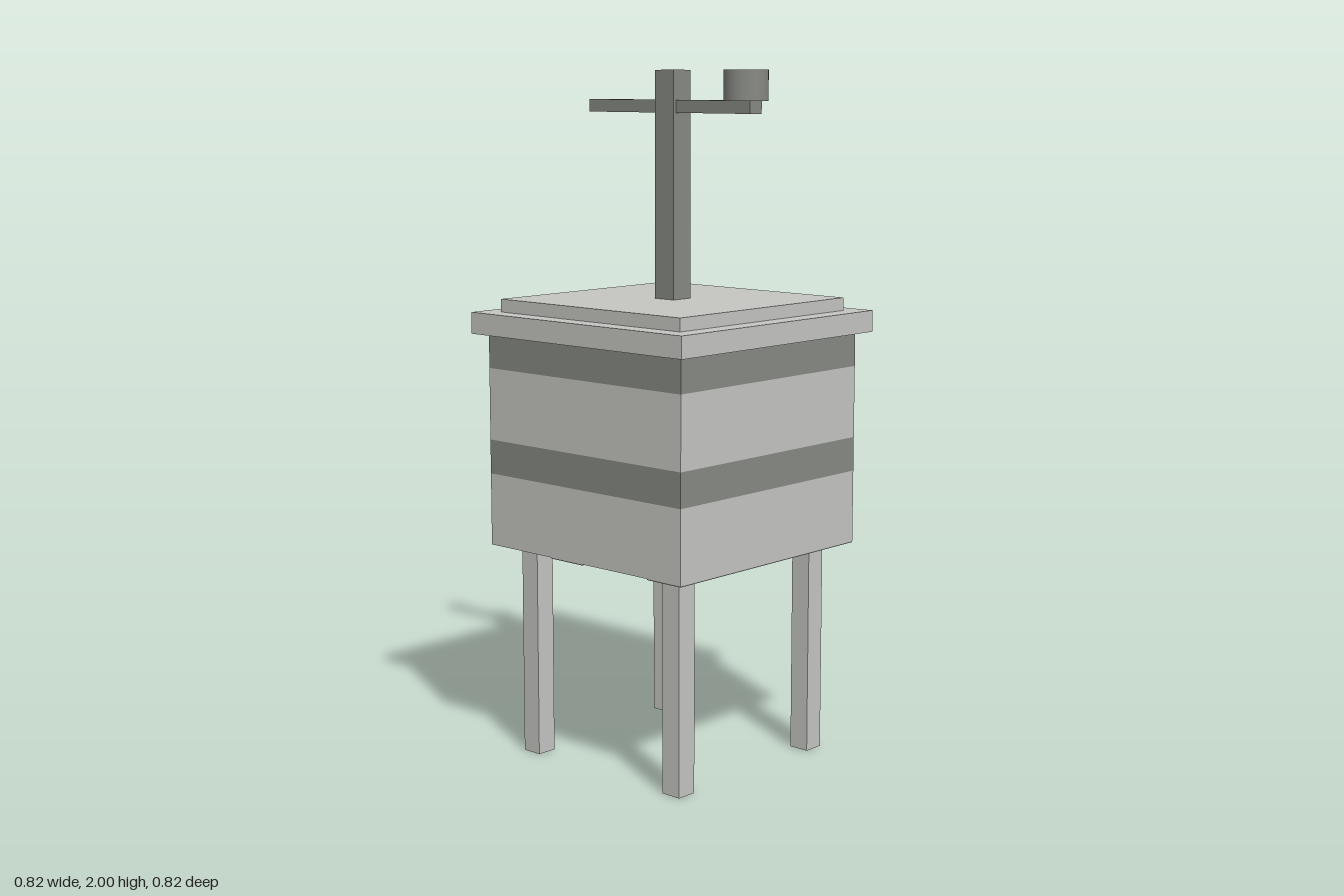
import * as THREE from 'three';

export function createModel() {
  const model = new THREE.Group();
  const light = new THREE.MeshStandardMaterial({ name: 'pale grey', color: 0xc6c6c3 });
  const dark = new THREE.MeshStandardMaterial({ name: 'dark grey', color: 0x888a85 });

  // Box from its size, bottom height and centre
  const box = (name, material, w, h, d, bottom, x = 0, z = 0) => {
    const mesh = new THREE.Mesh(new THREE.BoxGeometry(w, h, d), material);
    mesh.name = name;
    mesh.position.set(x, bottom + h / 2, z);
    model.add(mesh);
  };

  // Four square legs
  for (const x of [-0.281, 0.281])
    for (const z of [-0.281, 0.281]) box('leg', light, 0.0625, 0.625, 0.0625, 0, x, z);

  // Banded body: stacked layers of alternating colour
  const levels = [0.628, 0.84, 0.94, 1.15, 1.25];
  for (let i = 0; i < 4; i++) {
    const isBand = i % 2 === 1;
    box(isBand ? 'bodyBand' : 'bodyPanel', isBand ? dark : light,
      0.75, levels[i + 1] - levels[i], 0.75, levels[i]);
  }

  // Thin stripes across the underside
  for (const x of [0.3125, -0.0625]) box('undersideStripe', dark, 0.125, 0.003, 0.75, 0.625, x);

  // Stepped lid
  box('lidRim', light, 0.82, 0.0625, 0.82, 1.25);
  box('lidTop', light, 0.7, 0.0375, 0.7, 1.3125);

  // Crank: post, cross arm and round knob
  box('crankPost', dark, 0.072, 0.65, 0.072, 1.35);
  box('crankArm', dark, 0.62, 0.036, 0.05, 1.88);
  const knob = new THREE.Mesh(new THREE.CylinderGeometry(0.0625, 0.0625, 0.085, 24), dark);
  knob.name = 'crankKnob';
  knob.position.set(0.274, 1.9575, 0);
  model.add(knob);

  return model;
}
